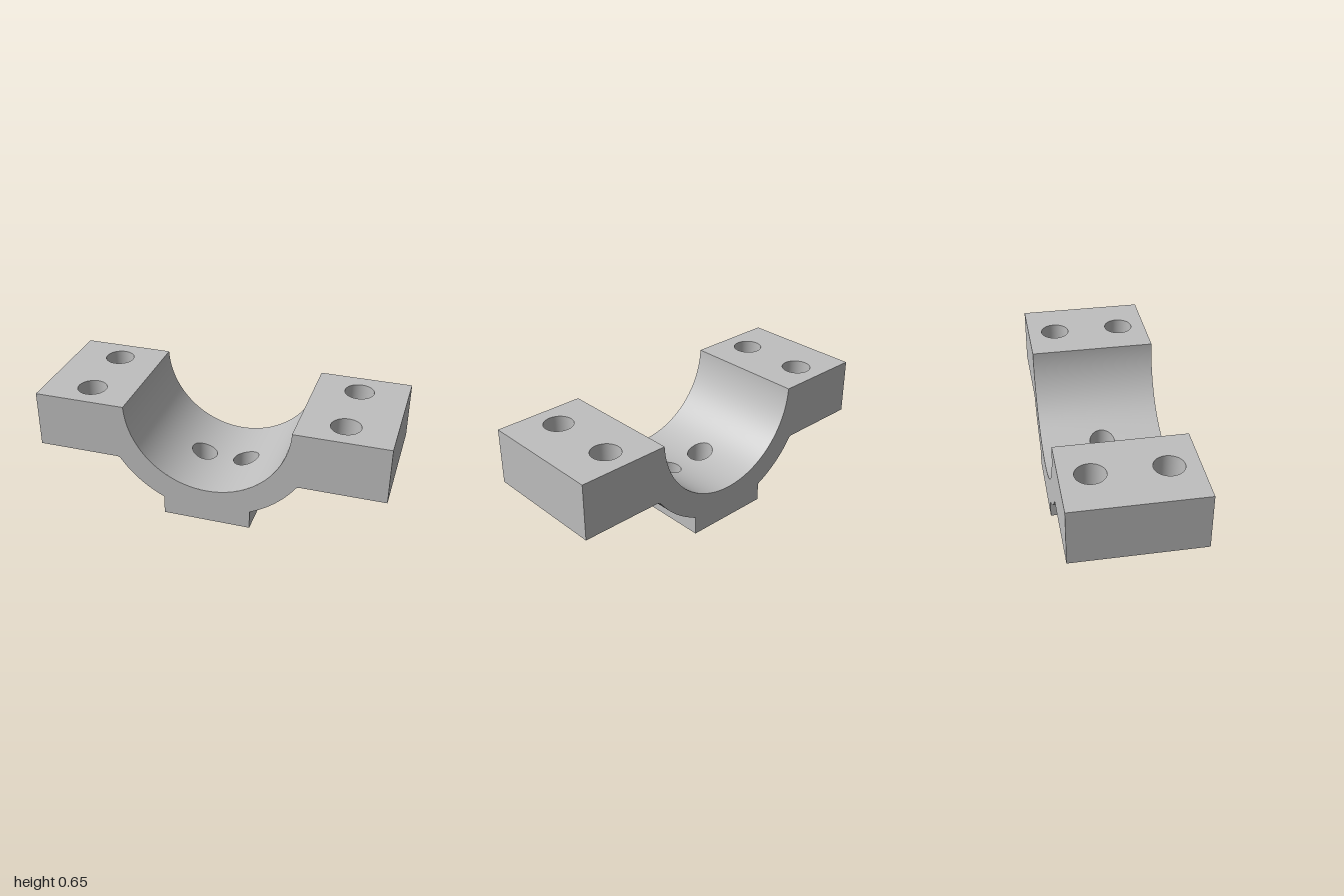
import * as THREE from 'three';
import { mergeGeometries } from 'three/addons/utils/BufferGeometryUtils.js';
import { ParametricGeometry } from 'three/addons/geometries/ParametricGeometry.js';

const D = 0.3635;                  // half depth
const TOP = 0.655, UNDER = 0.33;   // ear faces
const CY = 0.6755;                 // height of the bore axis
const R_IN = 0.4755, R_OUT = 0.62, R_FILLET = 0.03;
const PAD = 0.253;                 // half width of the foot pad
const BOLT = { x: 0.728, z: 0.2, r: 0.083 };
const SCREW = { x: 0.127, r: 0.042, bore: 0.074, floor: 0.1 };
const PANEL = 2 * SCREW.x;         // width of bore panel holding a screw hole
const SEG = 64;

const boreY = (x) => CY - Math.sqrt(R_IN * R_IN - x * x);

// Wall swept along z from a profile curve (solid on the curve's left)
function strip(curve, n, stacks = 1) {
  return new ParametricGeometry((u, v, t) => {
    const p = curve.getPoint(u);
    t.set(p.x, p.y, D * (2 * v - 1));
  }, n, stacks);
}

// Horizontal face with round holes, facing up or down
function plate(x0, x1, y, up, holes) {
  const s = new THREE.Shape([[x0, -D], [x1, -D], [x1, D], [x0, D]].map((p) => new THREE.Vector2(...p)));
  for (const [x, z, r] of holes) s.holes.push(new THREE.Path().absarc(x, z, r, 0, 2 * Math.PI, true));
  return new THREE.ShapeGeometry(s, SEG / 2).rotateX(up ? -Math.PI / 2 : Math.PI / 2).translate(0, y, 0);
}

// Inward-facing hole wall from y0 up to a height that may vary with x
function holeWall(cx, cz, r, y0, topY) {
  return new ParametricGeometry((u, v, t) => {
    const a = u * 2 * Math.PI, x = cx + r * Math.cos(a);
    t.set(x, y0 + (topY(x) - y0) * v, cz + r * Math.sin(a));
  }, SEG, 1);
}

// Curved bore panel blending from the counterbore rim out to a rectangle
function borePanel() {
  const side = (u) => THREE.MathUtils.clamp(2 - 8 * Math.abs(u - Math.round(u)), -1, 1);
  return new ParametricGeometry((u, v, t) => {
    const a = u * 2 * Math.PI;
    const x = SCREW.x + THREE.MathUtils.lerp(SCREW.bore * Math.cos(a), SCREW.x * side(u), v);
    const z = THREE.MathUtils.lerp(SCREW.bore * Math.sin(a), D * side(u - 0.25), v);
    t.set(x, boreY(x), z);
  }, SEG, 8);
}

export function createModel() {
  const steel = new THREE.MeshStandardMaterial({ color: 0xbfbfbf });
  steel.name = 'plainGrey';
  const model = new THREE.Group();
  model.name = 'bearingCap';

  // Profile curves of the +x side, from the pad round to the bore
  const line = (a, b, c, d) => new THREE.LineCurve(new THREE.Vector2(a, b), new THREE.Vector2(c, d));
  const arc = (x, y, r, a0, a1, cw) => new THREE.EllipseCurve(x, y, r, r, a0, a1, cw, 0);
  const fy = UNDER - R_FILLET;
  const fx = Math.sqrt((R_OUT + R_FILLET) ** 2 - (CY - fy) ** 2);
  const padTop = CY - Math.sqrt(R_OUT * R_OUT - PAD * PAD);
  const rimX = Math.sqrt(R_IN * R_IN - (CY - TOP) ** 2);
  const rimA = -Math.asin((CY - TOP) / R_IN);
  const padSide = line(PAD, 0, PAD, padTop);
  const outer = arc(0, CY, R_OUT, -Math.acos(PAD / R_OUT), Math.atan2(fy - CY, fx), false);
  const fillet = arc(fx, fy, R_FILLET, Math.atan2(CY - fy, -fx), Math.PI / 2, true);
  const earEnd = line(1, UNDER, 1, TOP);
  const bore = arc(0, CY, R_IN, rimA, -Math.acos(PANEL / R_IN), true);
  const boreToMiddle = arc(0, CY, R_IN, rimA, -Math.PI / 2, true);

  // End face: full symmetric profile
  const half = [
    ...padSide.getPoints(1), ...outer.getPoints(24).slice(1), ...fillet.getPoints(8).slice(1),
    ...earEnd.getPoints(1), ...boreToMiddle.getPoints(48),
  ];
  const mirrored = half.slice(0, -1).reverse().map((p) => new THREE.Vector2(-p.x, p.y));
  const endFace = new THREE.ShapeGeometry(new THREE.Shape([...half, ...mirrored])).translate(0, 0, D);

  // Outer skin of one half
  const bolts = [-1, 1].map((s) => [BOLT.x, s * BOLT.z, BOLT.r]);
  const skin = mergeGeometries([
    endFace,
    strip(padSide, 1), strip(outer, 24), strip(fillet, 8), strip(earEnd, 1),
    strip(bore, 32, SEG / 4), borePanel(),
    plate(rimX, 1, TOP, true, bolts),
    plate(fx, 1, UNDER, false, bolts),
    plate(0, PAD, 0, false, [[SCREW.x, 0, SCREW.r]]),
  ]);

  // Bolt holes through the ear
  const boltHoles = mergeGeometries(bolts.map(([x, z, r]) => holeWall(x, z, r, UNDER, () => TOP)));

  // Counterbored screw hole through the pad
  const screwHole = mergeGeometries([
    holeWall(SCREW.x, 0, SCREW.bore, SCREW.floor, boreY),
    new THREE.RingGeometry(SCREW.r, SCREW.bore, SEG).rotateX(-Math.PI / 2).translate(SCREW.x, SCREW.floor, 0),
    holeWall(SCREW.x, 0, SCREW.r, 0, () => SCREW.floor),
  ]);

  // The second half is the first turned by half a revolution
  for (const [i, name] of ['left', 'right'].entries()) {
    const side = new THREE.Group();
    side.name = name + 'Half';
    side.rotation.y = i * Math.PI;
    for (const [part, geo] of Object.entries({ capBody: skin, boltHoles, screwHole })) {
      const mesh = new THREE.Mesh(geo, steel);
      mesh.name = part;
      side.add(mesh);
    }
    model.add(side);
  }
  return model;
}
